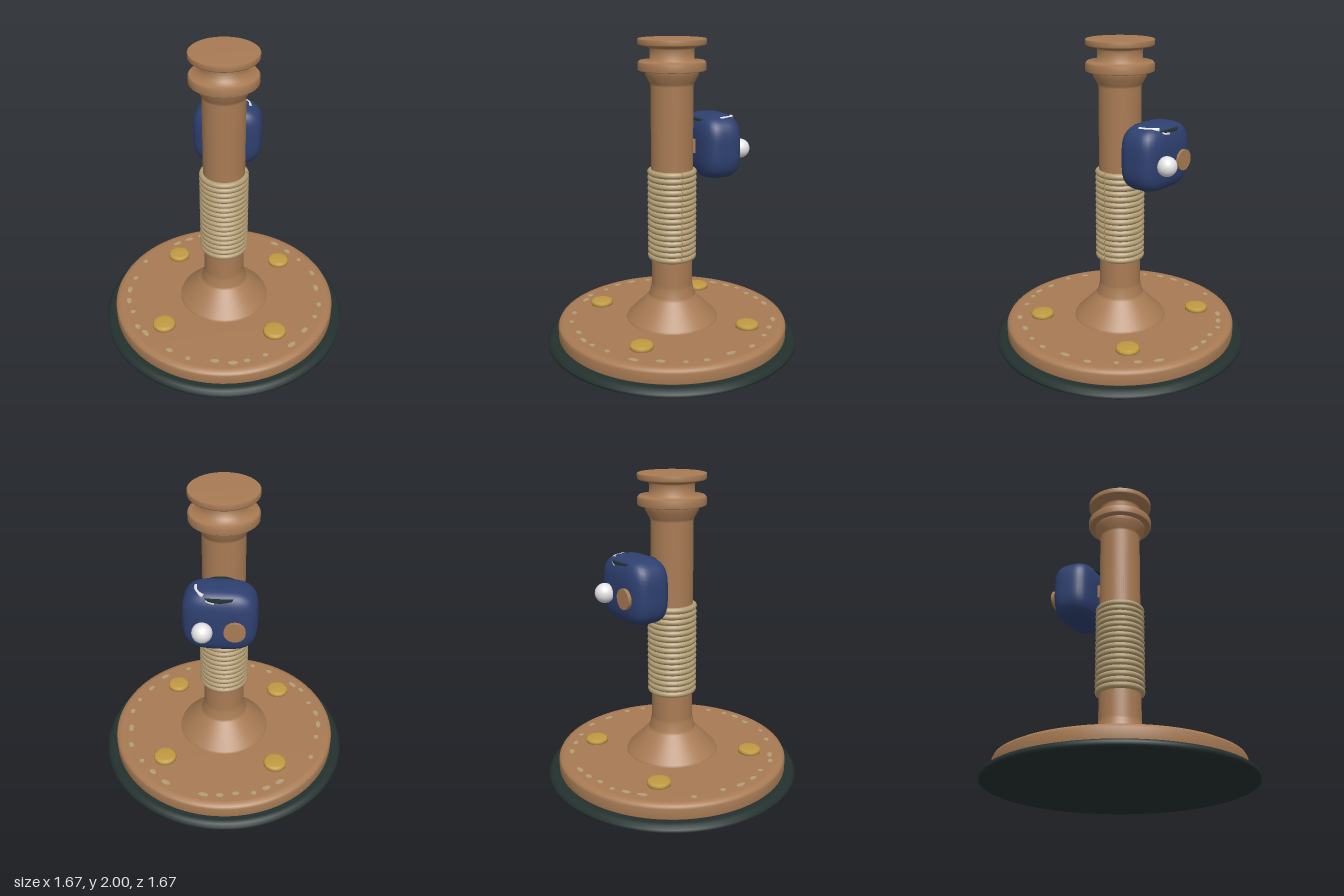
import * as THREE from 'three';
import { mergeVertices } from 'three/addons/utils/BufferGeometryUtils.js';

const mat = (name, color) => {
  const m = new THREE.MeshStandardMaterial({ color });
  m.name = name;
  return m;
};

export function createModel() {
  const wood = mat('brown wood', 0xa87b54);
  const rubber = mat('dark rubber', 0x24312f);
  const brass = mat('brass', 0xc09a42);
  const rope = mat('tan rope', 0xb39d74);
  const navy = mat('navy cloth', 0x2e4070);
  const white = mat('white', 0xe4e4e4);

  const root = new THREE.Group();
  root.name = 'post';
  const add = (name, geo, material, x = 0, y = 0, z = 0, parent = root) => {
    const mesh = new THREE.Mesh(geo, material);
    mesh.name = name;
    mesh.position.set(x, y, z);
    parent.add(mesh);
    return mesh;
  };
  const lathe = (pts, n = 64) =>
    new THREE.LatheGeometry(pts.map(([r, y]) => new THREE.Vector2(r, y)), n);

  // Base: rubber foot under a rounded wooden disc
  add('rubberFoot', lathe([[0, 0], [0.82, 0], [0.834, 0.006], [0.835, 0.025], [0.815, 0.042], [0.79, 0.048], [0, 0.048]], 96), rubber);
  add('baseDisc', lathe([[0, 0.046], [0.755, 0.046], [0.765, 0.055], [0.765, 0.12], [0.757, 0.135],
    [0.735, 0.146], [0.715, 0.148], [0, 0.148]], 96), wood);

  // Post with flared foot, neck flare, collar, groove and cap
  add('column', lathe([[0.305, 0.147], [0.3, 0.162], [0.16, 0.305], [0.15, 0.32], [0.137, 0.38], [0.135, 0.4],
    [0.135, 1.71], [0.14, 1.725], [0.168, 1.775], [0.17, 1.805]]), wood);
  add('collar', lathe([[0.13, 1.803], [0.21, 1.803], [0.215, 1.808], [0.215, 1.85], [0.205, 1.862], [0.14, 1.868],
    [0.14, 1.935], [0.15, 1.945], [0.21, 1.96], [0.215, 1.967], [0.215, 1.994], [0.21, 1.998], [0.12, 2], [0, 2]]), wood);

  // Rope wound around the post, each turn with a narrow join on +x
  const coils = new THREE.Group();
  coils.name = 'ropeWrap';
  root.add(coils);
  const coil = new THREE.TorusGeometry(0.14, 0.0205, 10, 56, Math.PI * 2 - 0.03);
  coil.rotateZ(0.015).rotateX(Math.PI / 2);
  for (let i = 0; i < 16; i++) add('ropeTurn', coil, rope, 0, 0.59 + i * 0.0377, 0, coils);

  // Domed brass bolts
  const bolt = lathe([[0.06, 0], [0.075, 0.008], [0.075, 0.026], [0.068, 0.034], [0.05, 0.038], [0, 0.04]], 32);
  for (const x of [-0.372, 0.372])
    for (const z of [-0.372, 0.372]) add('bolt', bolt, brass, x, 0.147, z);

  // Worn rope flecks around the base rim
  const flecks = [-92, -83, -101, -111, -119, -128, -155, -172, 177, 167, 157, 144, 137, 117, 105, 90,
    80, 72, 61, 44, 30, 17, 6, -9, -23, -38, -49, -60];
  flecks.forEach((deg, i) => {
    const a = deg * Math.PI / 180;
    const r = 0.67 + 0.01 * Math.sin(i * 2.4);
    const fleck = add('rimFleck', new THREE.CylinderGeometry(0.03, 0.03, 0.004, 12), rope,
      r * Math.cos(a), 0.149, r * Math.sin(a));
    fleck.scale.set(0.55, 1, 0.85 + 0.3 * Math.sin(i * 1.7));
    fleck.rotation.y = -a;
  });

  // Pouch: sphere pushed out to a rounded block
  const pouch = new THREE.Group();
  pouch.name = 'pouch';
  pouch.position.set(0, 1.3125, -0.28);
  root.add(pouch);
  let body = new THREE.SphereGeometry(1, 48, 32);
  body.deleteAttribute('uv');
  body.deleteAttribute('normal');
  body = mergeVertices(body, 1e-4);
  const pos = body.attributes.position;
  const v = new THREE.Vector3();
  const n = 3.5;
  for (let i = 0; i < pos.count; i++) {
    v.fromBufferAttribute(pos, i);
    const k = (Math.abs(v.x) ** n + Math.abs(v.y) ** n + Math.abs(v.z) ** n) ** (-1 / n);
    pos.setXYZ(i, v.x * k * 0.226, v.y * k * 0.2075, v.z * k * 0.138);
  }
  body.computeVertexNormals();
  add('pouchBody', body, navy, 0, 0, 0, pouch);

  // Dark mouth plate, white trim, ball and round patches
  add('pouchMouth', new THREE.CylinderGeometry(0.135, 0.135, 0.012, 40), rubber, 0, 0.173, 0, pouch);
  const trim = (start, arc, y) => {
    const g = new THREE.TorusGeometry(0.142, 0.013, 8, 24, arc);
    g.rotateZ(start).rotateX(-Math.PI / 2);
    add('mouthTrim', g, white, 0, y, 0, pouch).scale.z = 0.86;
  };
  trim(-0.1, 1.0, 0.186);
  trim(0.9, 0.5, 0.161);
  add('ball', new THREE.SphereGeometry(0.062, 32, 20), white, 0.095, -0.025, -0.163, pouch);
  const patch = new THREE.CylinderGeometry(0.065, 0.065, 0.022, 32).rotateX(Math.PI / 2);
  add('backPatch', patch, wood, -0.095, -0.025, -0.145, pouch);
  add('mountPad', new THREE.BoxGeometry(0.1, 0.09, 0.03), wood, 0, 0.005, 0.14, pouch);

  return root;
}
